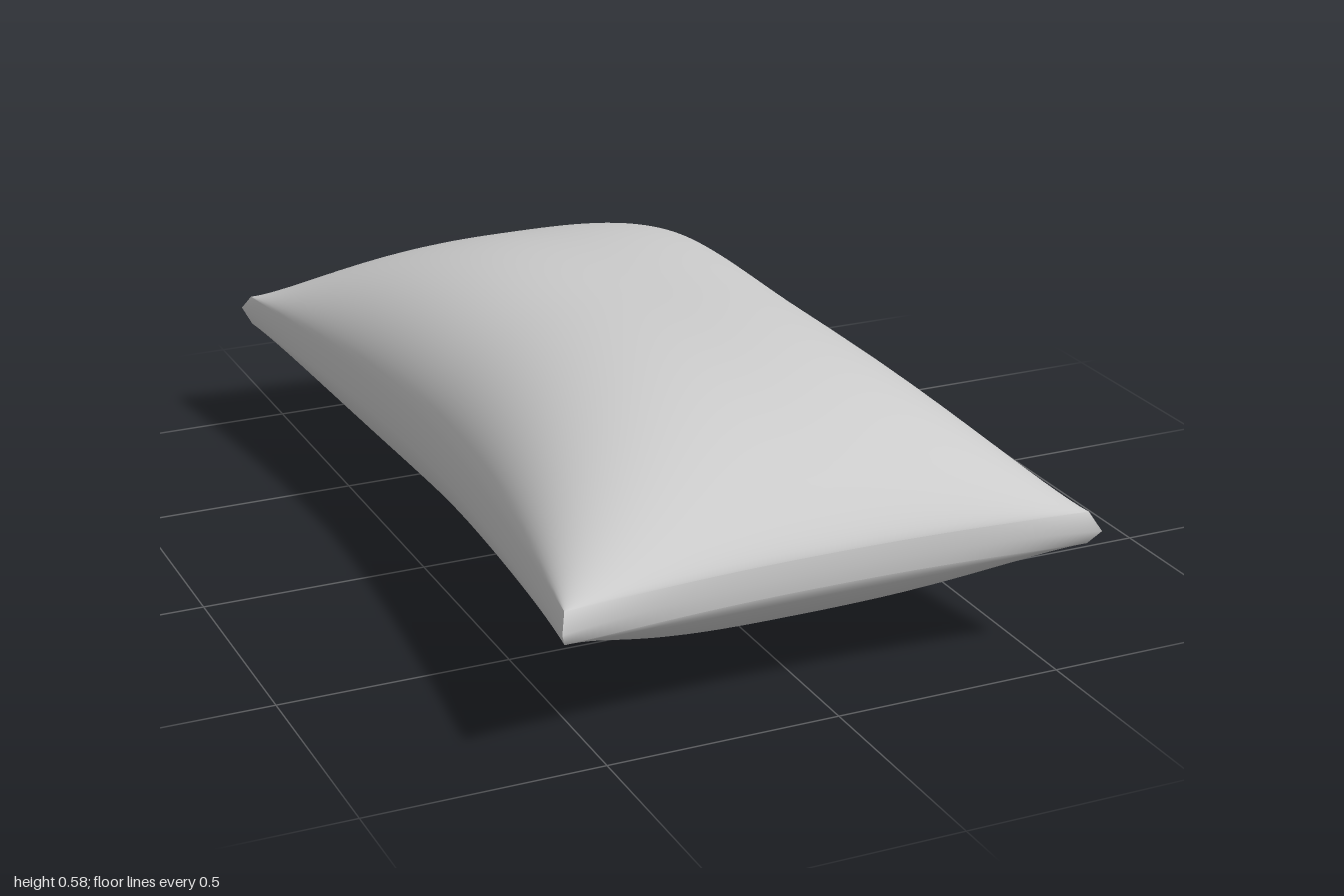
import * as THREE from 'three';

const SEGMENTS = 56;
const MIDDLE = 0.2925; // height of the seam
const BAND = 0.035; // half height of the seam band
const PUFF = 0.2575; // rise of the cushion above the band

const material = new THREE.MeshStandardMaterial({ color: 0xcccccc });

// Outline pulled in along the sides, with pointed corners; k = 1 is the band's
// rim and k = 0 its outer ridge. u and v run from -1 to 1.
function outline(u, v, k) {
  const a = Math.abs(u), b = Math.abs(v);
  const halfWidth = 0.49 + 0.1 * b ** 1.8 - k * (0.004 + 0.012 * b ** 4);
  const halfLength = 0.945 + 0.055 * a ** 2.5 - k * (0.004 + 0.024 * a ** 4);
  return [u * halfWidth, v * halfLength];
}

// Plump in the middle, falling steeply to the rim
function puff(u, v) {
  const across = Math.max(0, 1 - Math.abs(u) ** 2.7) ** 0.6;
  const along = Math.max(0, 1 - Math.abs(v) ** 2.7) ** 0.7;
  return PUFF * across * along;
}

// Grid over -1..1 whose vertices are moved by a rule; columns crowd the edges
const ease = (t) => Math.sin((t * Math.PI) / 2);

function shapedGrid(name, rows, rule) {
  const geometry = new THREE.PlaneGeometry(2, 2, SEGMENTS, rows);
  const p = geometry.attributes.position;
  for (let i = 0; i < p.count; i++) p.setXYZ(i, ...rule(p.getX(i), p.getY(i)));
  geometry.computeVertexNormals();
  const mesh = new THREE.Mesh(geometry, material);
  mesh.name = name;
  return mesh;
}

function createPanel(name) {
  return shapedGrid(name, SEGMENTS, (s, t) => {
    const u = ease(s), v = -ease(t);
    const [x, z] = outline(u, v, 1);
    return [x, BAND + puff(u, v), z];
  });
}

export function createModel() {
  const pillow = new THREE.Group();
  pillow.name = 'pillow';

  // Top and bottom panels
  const top = createPanel('topPanel');
  const bottom = createPanel('bottomPanel');
  bottom.rotation.z = Math.PI;
  pillow.add(top, bottom);

  // Seam band, one strip per side
  const sides = {
    frontBand: (e) => [e, 1],
    leftBand: (e) => [1, -e],
    backBand: (e) => [-e, -1],
    rightBand: (e) => [-1, e],
  };
  for (const [name, place] of Object.entries(sides)) {
    pillow.add(shapedGrid(name, 2, (s, t) => {
      const [x, z] = outline(...place(ease(s)), Math.abs(t));
      return [x, t * BAND, z];
    }));
  }

  for (const part of pillow.children) part.position.y = MIDDLE;
  return pillow;
}
